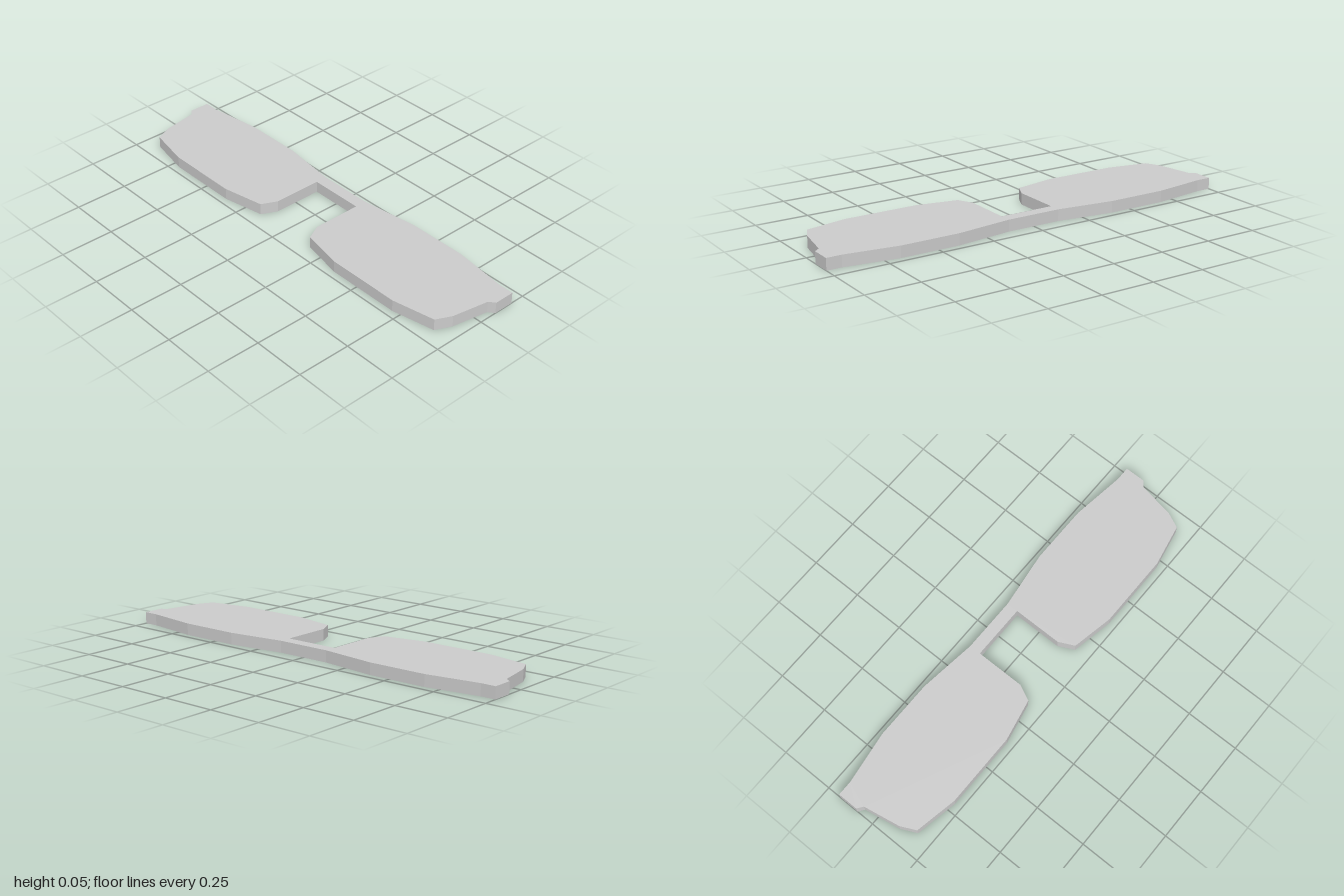
import * as THREE from 'three';

const THICKNESS = 0.054;

// Left half of the outline as [x, z], from the bridge's back edge round to its front edge
const HALF = [
  [0.13, -0.182], [0.4, -0.217], [0.68, -0.217], [0.93, -0.182], // brow
  [1, -0.182], [1, -0.085], [0.973, -0.065],                     // hinge tab
  [0.942, 0.105], [0.908, 0.177],                                // outer side
  [0.71, 0.216], [0.36, 0.216],                                  // lower rim
  [0.165, 0.177], [0.13, 0.105], [0.13, -0.127],                 // nose side
];

export function createModel() {
  const group = new THREE.Group();
  group.name = 'glassesFront';

  // Mirror the half outline, then extrude it upwards
  const mirrored = HALF.map(([x, z]) => [-x, z]).reverse();
  const shape = new THREE.Shape(
    [...HALF, ...mirrored].map(([x, z]) => new THREE.Vector2(x, -z))
  );
  const geometry = new THREE.ExtrudeGeometry(shape, { depth: THICKNESS, bevelEnabled: false });
  geometry.rotateX(-Math.PI / 2);

  const plate = new THREE.Mesh(
    geometry,
    new THREE.MeshStandardMaterial({ color: 0xcccccc, flatShading: true })
  );
  plate.name = 'lensPlate';
  group.add(plate);
  return group;
}
